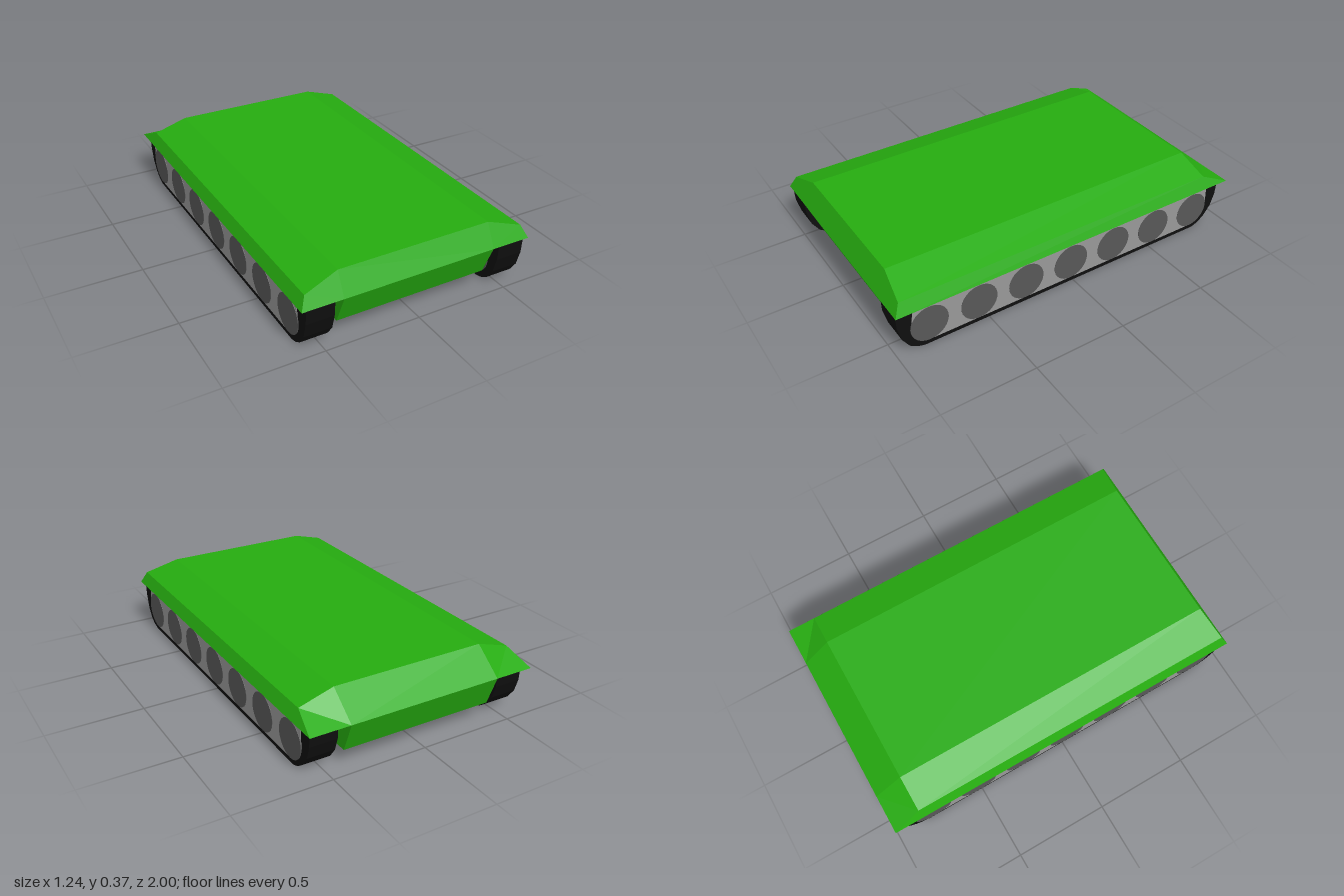
import * as THREE from 'three';

function paint(name, color) {
  const m = new THREE.MeshStandardMaterial({ color });
  m.name = name;
  return m;
}

// Extrude a side profile of [z, y] points across x, centred on x = 0
function sideExtrude(points, width) {
  const shape = new THREE.Shape(points.map(([z, y]) => new THREE.Vector2(z, y)));
  const geo = new THREE.ExtrudeGeometry(shape, { depth: width, bevelEnabled: false });
  geo.translate(0, 0, -width / 2);
  geo.rotateY(-Math.PI / 2);
  return geo;
}

// Faceted deck: two matching eight-point rings joined by sides and closed by caps
function deckGeometry() {
  const section = [[-0.62, 0.25], [-0.41, 0.25], [0.41, 0.25], [0.62, 0.25],
    [0.59, 0.315], [0.41, 0.37], [-0.41, 0.37], [-0.59, 0.315]];
  const front = section.map(([x, y]) => [x, y, 1 - (y - 0.25) * 0.5]);
  const back = section.map(([x, y]) => [x, y, y > 0.26 ? -0.85 : -1]);
  const caps = [[2, 3, 4], [2, 4, 5], [2, 5, 6], [1, 2, 6], [1, 6, 7], [0, 1, 7]];
  const pos = [];
  const tri = (a, b, c) => pos.push(...a, ...b, ...c);
  for (let i = 0; i < 8; i++) {
    const j = (i + 1) % 8;
    tri(front[i], back[i], back[j]);
    tri(front[i], back[j], front[j]);
  }
  for (const [a, b, c] of caps) {
    tri(front[a], front[b], front[c]);
    tri(back[a], back[c], back[b]);
  }
  const geo = new THREE.BufferGeometry();
  geo.setAttribute('position', new THREE.Float32BufferAttribute(pos, 3));
  geo.computeVertexNormals();
  return geo;
}

export function createModel() {
  const green = paint('hull green', 0x26ac10);
  const black = paint('track black', 0x0f0f0f);
  const grey = paint('panel grey', 0x989898);
  const dark = paint('wheel grey', 0x585858);

  const model = new THREE.Group();
  model.name = 'trackedHull';
  const add = (parent, name, geo, mat) => {
    const mesh = new THREE.Mesh(geo, mat);
    mesh.name = name;
    parent.add(mesh);
    return mesh;
  };

  // Hull: sloped deck above a tub that narrows towards its floor
  add(model, 'upperHull', deckGeometry(), green);
  add(model, 'lowerHull',
    sideExtrude([[-0.94, 0.09], [0.935, 0.09], [1, 0.25], [-1, 0.25]], 0.82), green);

  // Running gear shapes, shared by both sides
  const trackWidth = 0.145;
  const track = sideExtrude([[-0.957, 0.25], [-0.952, 0.17], [-0.93, 0.1], [-0.89, 0.045],
    [-0.85, 0.015], [-0.81, 0], [0.85, 0], [0.89, 0.01], [0.93, 0.035],
    [0.967, 0.09], [0.988, 0.17], [0.992, 0.25]], trackWidth);
  const panel = sideExtrude([[-0.88, 0.235], [-0.885, 0.125], [-0.86, 0.06], [-0.79, 0.024],
    [0.83, 0.024], [0.89, 0.055], [0.92, 0.125], [0.905, 0.235], [0.88, 0.245],
    [-0.85, 0.245]], trackWidth + 0.004);
  const wheel = new THREE.CylinderGeometry(0.1, 0.1, trackWidth + 0.008, 32);
  wheel.rotateZ(Math.PI / 2);

  for (const [name, side] of [['leftTrack', 1], ['rightTrack', -1]]) {
    const gear = new THREE.Group();
    gear.name = name;
    gear.position.x = side * 0.5225;
    add(gear, 'trackBelt', track, black);
    add(gear, 'sidePanel', panel, grey);
    for (let i = 0; i < 7; i++) {
      add(gear, 'roadWheel', wheel, dark).position.set(0, 0.125, 0.823 - i * 0.268);
    }
    model.add(gear);
  }
  return model;
}
